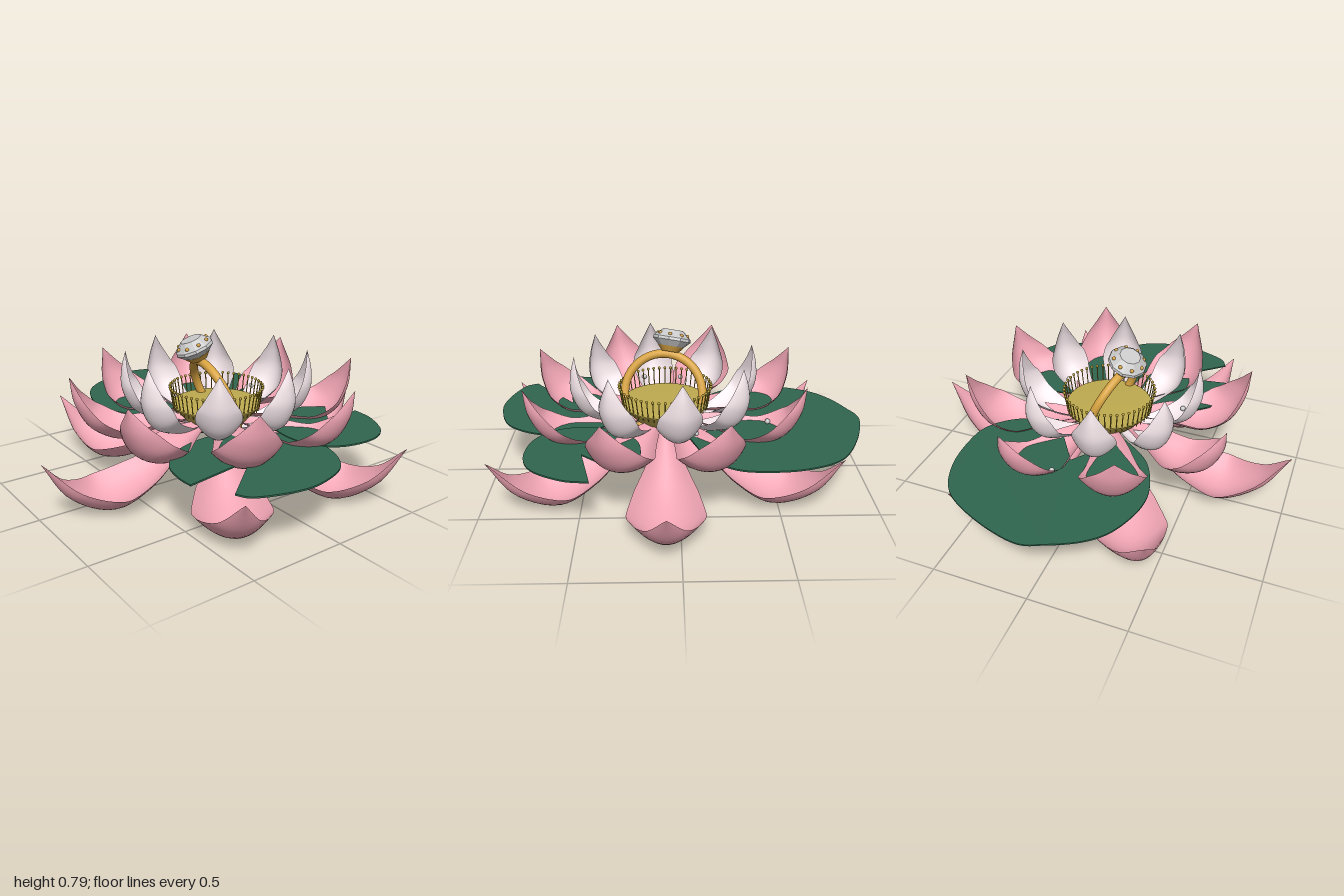
import * as THREE from 'three';

const mat = (color, extra = {}) => {
  const m = new THREE.MeshStandardMaterial({ color });
  return Object.assign(m, extra);
};
const both = { side: THREE.DoubleSide };
const MAT = {
  pink: mat(0xf2a6b5, both),
  pale: mat(0xf1e3e7, both),
  leaf: mat(0x2f6650),
  pod: mat(0xbfab50, both),
  stamen: mat(0xa8922e),
  gold: mat(0xd9a441),
  gem: mat(0xcccccc, { flatShading: true }),
  drop: mat(0xcccccc),
};

function add(parent, name, geometry, material, pos) {
  const mesh = new THREE.Mesh(geometry, material);
  mesh.name = name;
  if (pos) mesh.position.set(...pos);
  parent.add(mesh);
  return mesh;
}

// Cupped petal pointing along +x: rows are [radius, height, halfWidth] along the midrib
function petalGeometry(rows, cup) {
  const spine = new THREE.CatmullRomCurve3(rows.map(([r, y, w]) => new THREE.Vector3(r, y, w)));
  const nu = 28, nv = 14, pos = [], index = [];
  for (let i = 0; i <= nu; i++) {
    const p = spine.getPoint(i / nu), t = spine.getTangent(i / nu);
    const len = Math.hypot(t.x, t.y), w = Math.max(p.z, 0);
    for (let j = 0; j <= nv; j++) {
      const v = (j / nv) * 2 - 1, lift = cup * w * v * v;
      pos.push(p.x - (t.y / len) * lift, p.y + (t.x / len) * lift, v * w);
      if (i < nu && j < nv) {
        const a = i * (nv + 1) + j, b = a + nv + 1;
        index.push(a, a + 1, b, b, a + 1, b + 1);
      }
    }
  }
  const g = new THREE.BufferGeometry();
  g.setAttribute('position', new THREE.Float32BufferAttribute(pos, 3));
  g.setIndex(index);
  g.computeVertexNormals();
  return g;
}

function petalRing(parent, name, count, startDeg, rows, cup, material) {
  const ring = new THREE.Group();
  ring.name = name + 's';
  const geometry = petalGeometry(rows, cup);
  for (let i = 0; i < count; i++) {
    const petal = add(ring, name, geometry, material);
    petal.rotation.y = -THREE.MathUtils.degToRad(startDeg + (360 / count) * i);
  }
  parent.add(ring);
}

// Flat lily pad: straight-sided notch at apex, smooth rim through [x, z] points
function lilyPad(parent, name, apex, rim, y) {
  const shape = new THREE.Shape();
  shape.moveTo(...apex);
  shape.lineTo(...rim[0]);
  shape.splineThru(rim.slice(1).map(([x, z]) => new THREE.Vector2(x, z)));
  shape.closePath();
  const g = new THREE.ExtrudeGeometry(shape, { depth: 0.008, bevelEnabled: false, curveSegments: 48 });
  g.rotateX(Math.PI / 2);
  add(parent, name, g, MAT.leaf, [0, y, 0]);
}

export function createModel() {
  const model = new THREE.Group();
  model.name = 'lotusWithRing';

  // Lily pads
  lilyPad(model, 'largeLilyPad', [-0.35, -0.05], [
    [-0.05, -0.25], [-0.13, -0.46], [-0.25, -0.58], [-0.4, -0.61], [-0.6, -0.59], [-0.78, -0.5],
    [-0.9, -0.3], [-0.97, -0.06], [-0.93, 0.08], [-0.85, 0.23], [-0.74, 0.33], [-0.56, 0.395],
    [-0.4, 0.39], [-0.22, 0.31], [-0.09, 0.15]], 0.325);
  lilyPad(model, 'backLilyPad', [0.48, -0.43], [
    [0.42, -0.69], [0.55, -0.67], [0.7, -0.58], [0.76, -0.45], [0.74, -0.28], [0.65, -0.17],
    [0.5, -0.13], [0.33, -0.17], [0.21, -0.3], [0.2, -0.48], [0.28, -0.6]], 0.326);
  lilyPad(model, 'frontLilyPad', [0.59, 0.19], [
    [0.83, 0.47], [0.9, 0.42], [0.96, 0.25], [0.965, 0.1], [0.9, -0.08], [0.76, -0.18],
    [0.6, -0.2], [0.4, -0.12], [0.27, 0.05], [0.25, 0.22], [0.3, 0.4], [0.42, 0.53],
    [0.55, 0.57], [0.65, 0.57]], 0.322);

  // Three rings of petals
  const flower = new THREE.Group();
  flower.name = 'flower';
  flower.position.x = 0.07;
  model.add(flower);
  petalRing(flower, 'outerPetal', 6, 30, [
    [0.1, 0.31, 0.02], [0.25, 0.2, 0.08], [0.45, 0.065, 0.16], [0.67, 0.005, 0.19],
    [0.87, 0.11, 0.11], [1.0, 0.32, 0]], 0.55, MAT.pink);
  petalRing(flower, 'middlePetal', 8, 22.5, [
    [0.1, 0.34, 0.02], [0.3, 0.31, 0.09], [0.5, 0.265, 0.15], [0.66, 0.335, 0.165],
    [0.735, 0.46, 0.11], [0.757, 0.61, 0]], 0.55, MAT.pink);
  petalRing(flower, 'innerPetal', 8, -10, [
    [0.13, 0.3, 0.02], [0.3, 0.325, 0.075], [0.44, 0.39, 0.112], [0.495, 0.5, 0.105],
    [0.495, 0.6, 0.06], [0.47, 0.7, 0]], 0.7, MAT.pale);

  // Seed pod
  const podProfile = [[0, 0.27], [0.1, 0.27], [0.17, 0.34], [0.232, 0.41], [0.232, 0.42], [0, 0.42]];
  const pod = new THREE.LatheGeometry(podProfile.map(([x, y]) => new THREE.Vector2(x, y)), 48);
  add(flower, 'seedPod', pod, MAT.pod);

  // Stamens around the pod
  const stamens = new THREE.Group();
  stamens.name = 'stamens';
  flower.add(stamens);
  const stem = new THREE.CylinderGeometry(0.003, 0.003, 0.12, 6);
  const tip = new THREE.SphereGeometry(0.008, 10, 8);
  for (let i = 0; i < 48; i++) {
    const stamen = new THREE.Group();
    stamen.name = 'stamen';
    stamen.rotation.y = (i / 48) * Math.PI * 2;
    add(stamen, 'stamenStem', stem, MAT.stamen, [0.235, 0.45, 0]).rotation.z = -0.15;
    add(stamen, 'stamenTip', tip, MAT.stamen, [0.244, 0.508, 0]);
    stamens.add(stamen);
  }

  // Tilted finger ring standing in the pod
  const ring = new THREE.Group();
  ring.name = 'fingerRing';
  const up = new THREE.Vector3(-0.05, 0.275, 0.1).normalize();
  const across = new THREE.Vector3(1, 0.1, 0.225).normalize();
  const axis = new THREE.Vector3().crossVectors(across, up).normalize();
  across.crossVectors(up, axis);
  ring.quaternion.setFromRotationMatrix(new THREE.Matrix4().makeBasis(across, up, axis));
  ring.position.set(0.08, 0.455, 0.015);
  model.add(ring);
  add(ring, 'band', new THREE.TorusGeometry(0.21, 0.023, 16, 64), MAT.gold);
  add(ring, 'gemSetting', new THREE.CylinderGeometry(0.07, 0.045, 0.03, 32), MAT.gold, [0, 0.238, 0]);

  // Faceted stone with gold studs on its crown
  const gemProfile = [[0, 0.245], [0.06, 0.245], [0.103, 0.285], [0.1, 0.3], [0.055, 0.34], [0, 0.34]];
  add(ring, 'gem', new THREE.LatheGeometry(gemProfile.map(([x, y]) => new THREE.Vector2(x, y)), 10), MAT.gem);
  const stud = new THREE.SphereGeometry(0.01, 12, 8);
  for (let i = 0; i < 8; i++) {
    const a = (i / 8) * Math.PI * 2;
    add(ring, 'gemStud', stud, MAT.gold, [0.08 * Math.cos(a), 0.315, 0.08 * Math.sin(a)]);
  }

  // Dew drops on the petals and the large pad
  const drop = new THREE.SphereGeometry(0.014, 16, 12);
  for (const p of [[-0.08, 0.4, -0.36], [0.25, 0.39, -0.32], [-0.25, 0.38, -0.15],
    [-0.02, 0.4, 0.37], [0.19, 0.4, 0.38], [-0.47, 0.335, -0.1]]) {
    add(model, 'dewDrop', drop, MAT.drop, p);
  }
  return model;
}
